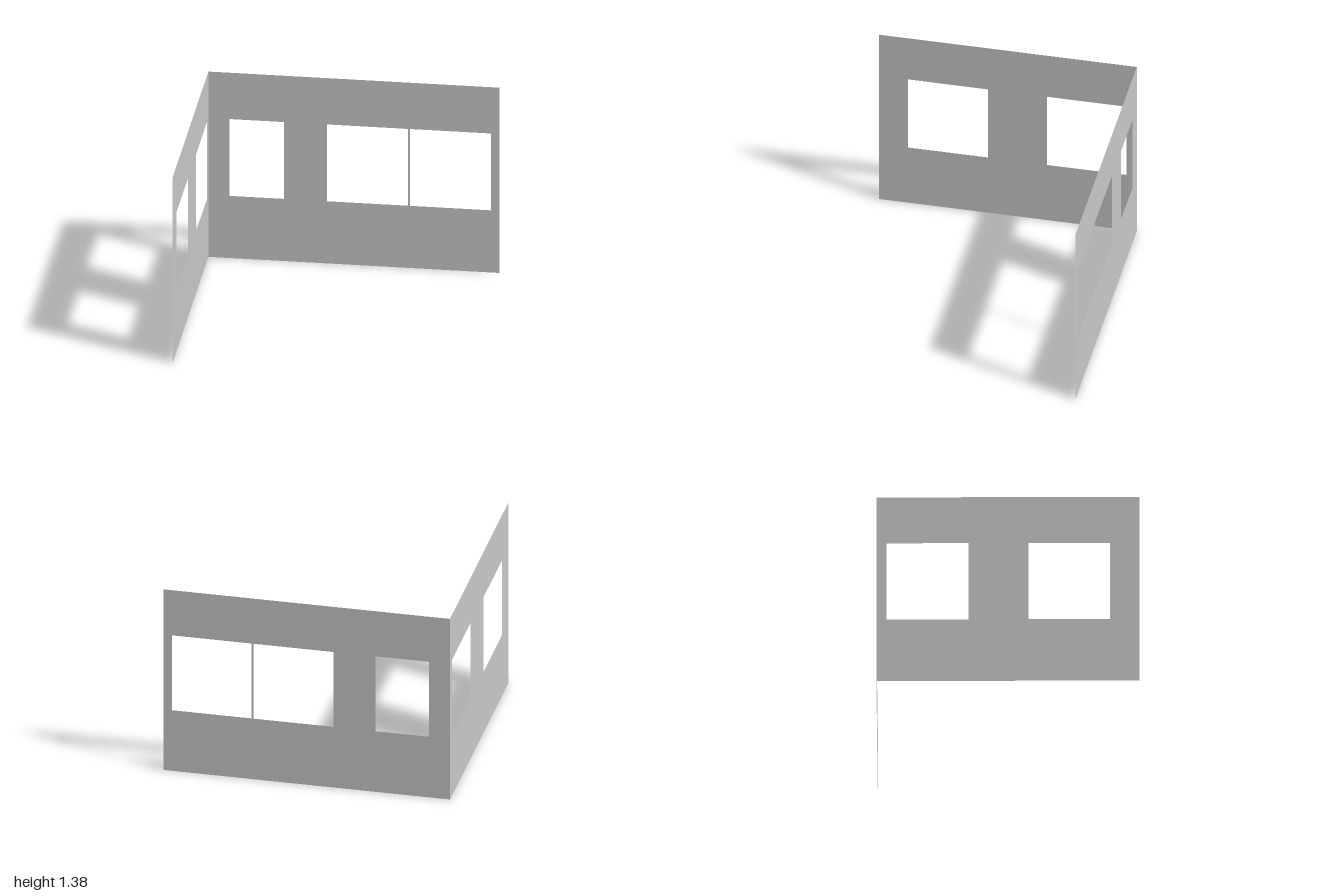
import * as THREE from 'three';

const HEIGHT = 1.38, SILL = 0.463, HEAD = 1.035;
const HALF_X = 1, HALF_Z = 0.897;

// Rectangular path, counter-clockwise
function rect(path, x0, x1, y0, y1) {
  path.moveTo(x0, y0);
  path.lineTo(x1, y0);
  path.lineTo(x1, y1);
  path.lineTo(x0, y1);
  path.closePath();
  return path;
}

// Thin wall panel with window openings given as [start, end] along its length
function wall(name, half, openings, material) {
  const shape = rect(new THREE.Shape(), -half, half, 0, HEIGHT);
  for (const [a, b] of openings) {
    shape.holes.push(rect(new THREE.Path(), a, b, SILL, HEAD));
  }
  const mesh = new THREE.Mesh(new THREE.ShapeGeometry(shape), material);
  mesh.name = name;
  return mesh;
}

export function createModel() {
  const group = new THREE.Group();
  group.name = 'cornerWalls';
  const material = new THREE.MeshStandardMaterial({ color: 0xcccccc, side: THREE.DoubleSide });

  // Back wall: one narrow window and a pair split by a thin mullion
  const back = wall('backWall', HALF_X, [[-0.854, -0.48], [-0.186, 0.371], [0.387, 0.943]], material);
  back.position.z = -HALF_Z;

  // Right wall: two equal windows, length running along z
  const side = wall('rightWall', HALF_Z, [[-0.827, -0.27], [0.138, 0.695]], material);
  side.rotation.y = -Math.PI / 2;
  side.position.x = -HALF_X;

  group.add(back, side);
  return group;
}
